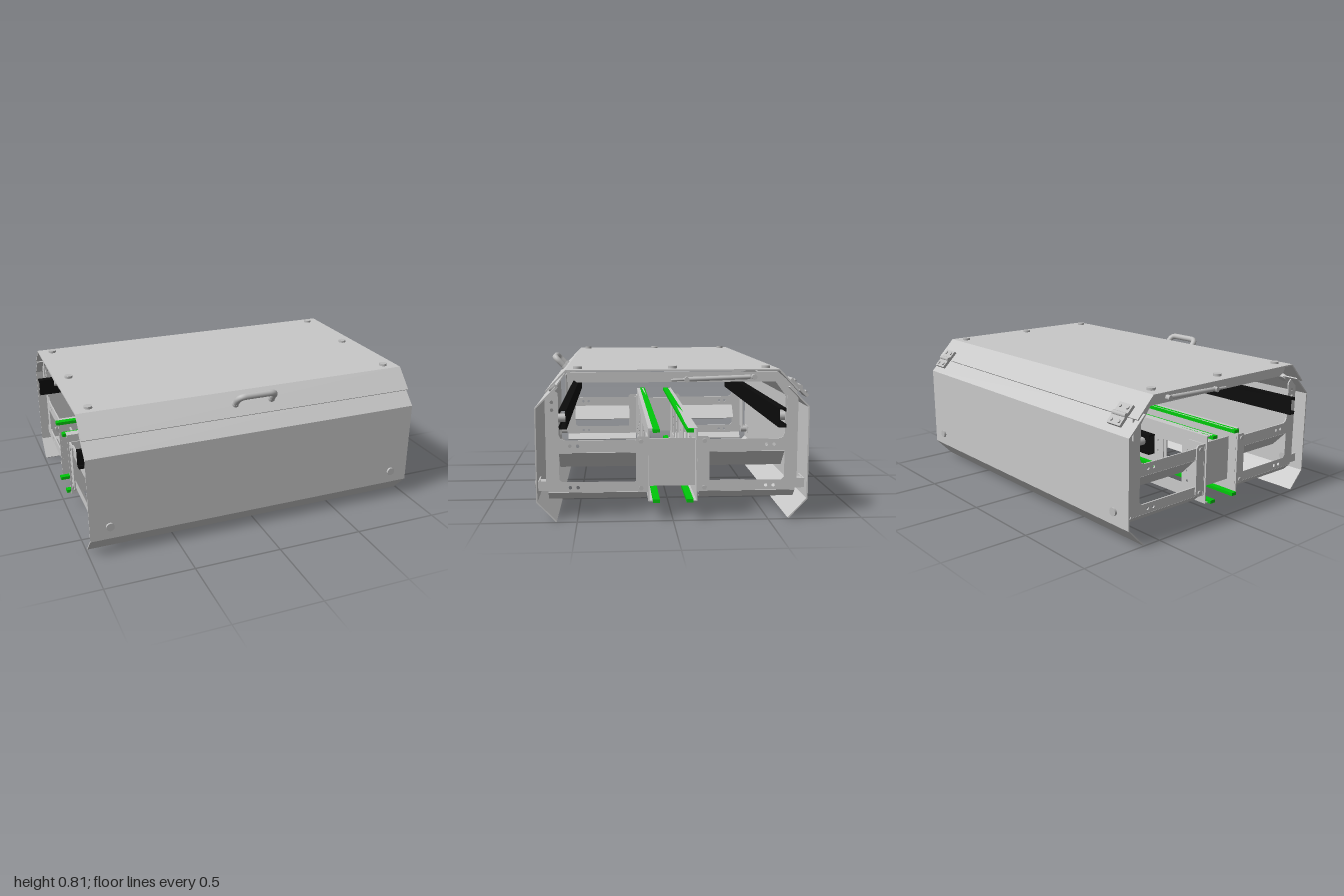
import * as THREE from 'three';

export function createModel() {
  const model = new THREE.Group();
  const mat = (name, color) => Object.assign(new THREE.MeshStandardMaterial({ color }), { name });
  const sheet = mat('light grey sheet', 0xc8c8c8);
  const steel = mat('steel hardware', 0xbdbdbd);
  const black = mat('black rail', 0x0c0c0c);
  const green = mat('green rail', 0x00c80a);

  const add = (name, geo, material, parent = model) => {
    const mesh = new THREE.Mesh(geo, material);
    mesh.name = name;
    parent.add(mesh);
    return mesh;
  };
  const box = (name, w, h, d, x, y, z, material = sheet) => {
    const mesh = add(name, new THREE.BoxGeometry(w, h, d), material);
    mesh.position.set(x, y, z);
    return mesh;
  };
  const path = (pts, C = THREE.Shape) => new C(pts.map(p => new THREE.Vector2(p[0], p[1])));
  const rect = (x0, x1, y0, y1) => path([[x0, y0], [x1, y0], [x1, y1], [x0, y1]], THREE.Path);
  const circle = (x, y, r) => {
    const c = new THREE.Path();
    c.absarc(x, y, r, 0, Math.PI * 2, true);
    return c;
  };
  // Shape drawn in (z, y), swept along x and centred on x
  const sweep = (name, shape, length, x, material = sheet) => {
    const geo = new THREE.ExtrudeGeometry(shape, { depth: length, bevelEnabled: false, curveSegments: 10 });
    geo.translate(0, 0, -length / 2).rotateY(-Math.PI / 2).translate(x, 0, 0);
    return add(name, geo, material);
  };
  // Folded sheet: a polyline of (z, y) with mitred thickness
  const folded = (pts, t) => {
    const v = pts.map(p => new THREE.Vector2(p[0], p[1]));
    const normal = i => {
      const d = v[i + 1].clone().sub(v[i]).normalize();
      return new THREE.Vector2(-d.y, d.x);
    };
    const inner = v.map((p, i) => {
      const a = normal(Math.max(0, i - 1));
      const b = normal(Math.min(v.length - 2, i));
      const m = a.clone().add(b);
      return p.clone().addScaledVector(m, (2 * t) / m.lengthSq());
    });
    return new THREE.Shape([...v, ...inner.reverse()]);
  };
  const rod = (name, a, b, r, material = steel, sides = 20) => {
    const p = new THREE.Vector3(...a), q = new THREE.Vector3(...b), d = q.clone().sub(p);
    const mesh = add(name, new THREE.CylinderGeometry(r, r, d.length(), sides), material);
    mesh.position.copy(p).add(q).multiplyScalar(0.5);
    mesh.quaternion.setFromUnitVectors(new THREE.Vector3(0, 1, 0), d.normalize());
    return mesh;
  };

  // Outer shell: lid and two folded side panels
  sweep('lid', folded([[-0.655, 0.68], [-0.55, 0.79], [0.55, 0.79], [0.655, 0.68]], -0.008), 1.985, 0);
  for (const s of [1, -1]) {
    const side = [[0.61, 0.005], [0.71, 0.105], [0.71, 0.595], [0.605, 0.7]].map(([z, y]) => [s * z, y]);
    side[0][1] = 0;
    sweep(s > 0 ? 'frontPanel' : 'backPanel', folded(side, s * 0.007), 1.985, 0);

    // Panel bolts
    for (const x of [-0.88, 0.88]) {
      rod('panelBolt', [x, 0.18, s * 0.655], [x, 0.18, s * 0.722], 0.023);
      rod('slopeBolt', [x, 0.675, s * 0.61], [x, 0.692, s * 0.627], 0.023);
    }

    // C-shaped black slide rails with their mounting nubs
    sweep('slideRail', folded([[0.58, 0.505], [0.58, 0.493], [0.552, 0.493], [0.552, 0.582], [0.58, 0.582], [0.58, 0.57]]
      .map(([z, y]) => [s * z, y]), s * 0.006), 2, 0, black);
    for (const x of [-0.92, 0.92]) {
      rod('railMount', [x, 0.537, s * 0.555], [x, 0.537, s * 0.6], 0.022);
    }

    // Long spine plate with windows and fixing holes
    const plate = path([[-0.97, 0.1], [0.97, 0.1], [0.97, 0.48], [-0.97, 0.48]]);
    for (const m of [-1, 1]) {
      for (const x of [0.25, 0.48, 0.71]) {
        plate.holes.push(rect(m * x - 0.075, m * x + 0.075, 0.17, 0.39));
      }
      for (const x of [0.13, 0.365, 0.595, 0.83]) {
        for (const y of [0.19, 0.25, 0.31, 0.37]) plate.holes.push(circle(m * x, y, 0.009));
      }
    }
    for (const y of [0.19, 0.25, 0.31, 0.37]) plate.holes.push(circle(0, y, 0.009));
    const spine = add('spinePlate', new THREE.ExtrudeGeometry(plate, { depth: 0.006, bevelEnabled: false, curveSegments: 5 }), sheet);
    spine.position.z = s * 0.126 - 0.003;

    // Spine lips and the green guide rails on them
    for (const [y, dir] of [[0.475, 1], [0.105, -1]]) {
      box('spineLip', 1.94, 0.006, 0.05, 0, y + dir * 0.006, s * 0.104);
      box('guideRail', 1.99, 0.018, 0.036, 0.005, y, s * 0.088, green);
    }
  }

  // Lid top bolts
  for (const x of [-0.91, 0.91]) {
    for (const z of [-0.49, 0, 0.49]) rod('lidBolt', [x, 0.78, z], [x, 0.803, z], 0.023);
  }

  // End frames, one at each open end
  for (const e of [1, -1]) {
    const fx = e * 0.94;
    for (const s of [1, -1]) {
      const m = pts => pts.map(([z, y]) => [s * z, y]);
      const frame = path(m([[0.13, 0.42], [0.56, 0.42], [0.582, 0.428], [0.592, 0.45], [0.592, 0.665], [0.615, 0.685],
        [0.66, 0.635], [0.66, 0.205], [0.7, 0.205], [0.7, 0.155], [0.65, 0.155], [0.65, 0.145], [0.13, 0.145]]));
      frame.holes.push(path(m([[0.15, 0.355], [0.592, 0.355], [0.592, 0.215], [0.577, 0.2], [0.15, 0.2]]), THREE.Path));
      for (const z of [0.495, 0.535]) {
        for (const y of [0.17, 0.39]) frame.holes.push(circle(s * z, y, 0.009));
      }
      for (const y of [0.58, 0.62]) frame.holes.push(circle(s * 0.625, y, 0.009));
      sweep('endFrame', frame, 0.008, fx);

      // Upright flange behind the shell
      box('uprightFlange', 0.12, 0.4, 0.007, e * 0.88, 0.4, s * 0.657);
      box('boltTab', 0.12, 0.05, 0.007, e * 0.88, 0.18, s * 0.699);

      // Sloping lower flanges of the two cross bars
      for (const [z0, z1, y0, y1] of [[0.19, 0.592, 0.265, 0.355], [0.14, 0.65, 0.105, 0.145]]) {
        const h = y1 - y0, w = z1 - z0;
        const flange = box('barFlange', 0.006, Math.hypot(h, h), w, fx - e * h / 2, (y0 + y1) / 2, s * (z0 + z1) / 2);
        flange.rotation.z = -e * Math.PI / 4;
      }

      // Bracket joining bars to the spine
      const bracket = path(m([[0.122, 0.145], [0.18, 0.145], [0.193, 0.158], [0.193, 0.427], [0.18, 0.44], [0.122, 0.44]]));
      sweep('spineBracket', bracket, 0.008, e * 0.955);
      box('bracketFlange', 0.12, 0.295, 0.007, e * 0.9, 0.2925, s * 0.134);
      for (const y of [0.167, 0.415]) rod('bracketBolt', [e * 0.955, y, s * 0.166], [e * 0.967, y, s * 0.166], 0.013, steel, 6);
    }
    box('centrePlate', 0.008, 0.255, 0.245, e * 0.9, 0.2925, 0);

    // Lid rib with rounded front corner and rear gusset
    const rib = path([[0.535, 0.775], [0.525, 0.745], [0.49, 0.722], [-0.535, 0.722], [-0.595, 0.64],
      [-0.65, 0.64], [-0.65, 0.685], [-0.545, 0.775]]);
    sweep('lidRib', rib, 0.008, e * 0.95);
    sweep('hingeGusset', path([[-0.6, 0.56], [-0.65, 0.56], [-0.65, 0.65], [-0.6, 0.65]]), 0.008, e * 0.952);

    // Gas strut under the lid
    rod('strutRod', [e * 0.965, 0.733, 0.01], [e * 0.965, 0.737, -0.08], 0.007);
    rod('strutBody', [e * 0.965, 0.737, -0.07], [e * 0.965, 0.748, -0.4], 0.012);
    for (const [y, z] of [[0.736, -0.07], [0.748, -0.42]]) rod('strutJoint', [e * 0.945, y, z], [e * 0.982, y, z], 0.014);

    // Hinge on the back slope: two leaves, barrel and screws
    const hinge = new THREE.Group();
    hinge.name = 'hinge';
    hinge.position.set(e * 0.88, 0.684, -0.665);
    hinge.rotation.x = -Math.PI / 4;
    model.add(hinge);
    for (const k of [1, -1]) {
      const leaf = add('hingeLeaf', new THREE.BoxGeometry(0.1, 0.016, 0.056), steel, hinge);
      leaf.position.set(0, 0.004, k * 0.036);
      for (const x of [-0.028, 0.028]) {
        const screw = add('hingeScrew', new THREE.CylinderGeometry(0.01, 0.01, 0.01, 14), steel, hinge);
        screw.position.set(x, 0.014, k * 0.042);
      }
    }
    const barrel = add('hingeBarrel', new THREE.CylinderGeometry(0.013, 0.013, 0.1, 16).rotateZ(Math.PI / 2), steel, hinge);
    barrel.position.y = 0.01;
  }

  // Carrying handle standing out from the front slope
  const handle = new THREE.Group();
  handle.name = 'handle';
  handle.position.set(0, 0.735, 0.603);
  handle.rotation.x = Math.PI / 4;
  model.add(handle);
  const bend = new THREE.CurvePath();
  const V = (x, y) => new THREE.Vector3(x, y, 0);
  bend.add(new THREE.LineCurve3(V(-0.11, 0), V(-0.11, 0.045)));
  bend.add(new THREE.QuadraticBezierCurve3(V(-0.11, 0.045), V(-0.11, 0.085), V(-0.07, 0.085)));
  bend.add(new THREE.LineCurve3(V(-0.07, 0.085), V(0.07, 0.085)));
  bend.add(new THREE.QuadraticBezierCurve3(V(0.07, 0.085), V(0.11, 0.085), V(0.11, 0.045)));
  bend.add(new THREE.LineCurve3(V(0.11, 0.045), V(0.11, 0)));
  add('handleGrip', new THREE.TubeGeometry(bend, 48, 0.018, 14), steel, handle);
  for (const x of [-0.11, 0.11]) {
    const foot = add('handleFoot', new THREE.CylinderGeometry(0.019, 0.023, 0.02, 18), steel, handle);
    foot.position.set(x, 0.005, 0);
  }
  return model;
}
